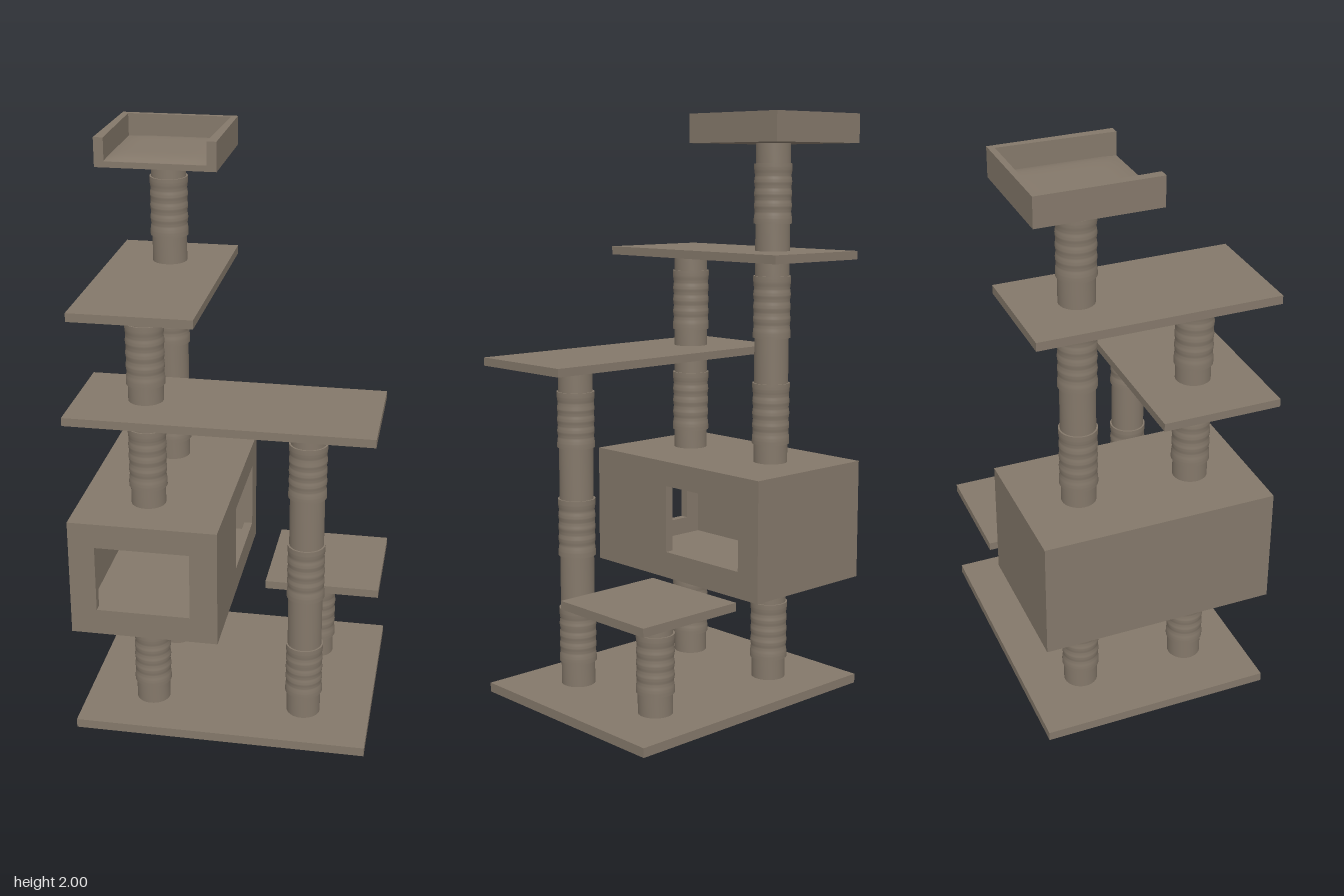
import * as THREE from 'three';
import { toCreasedNormals } from 'three/addons/utils/BufferGeometryUtils.js';

export function createModel() {
  const model = new THREE.Group();
  const brown = new THREE.MeshStandardMaterial({ color: 0x84786a });
  brown.name = 'taupe';

  const add = (name, geometry, parent = model) => {
    const mesh = new THREE.Mesh(geometry, brown);
    mesh.name = name;
    parent.add(mesh);
    return mesh;
  };

  // Box given by its lower and upper corners
  const slab = (name, x0, x1, y0, y1, z0, z1, parent) => {
    const g = new THREE.BoxGeometry(x1 - x0, y1 - y0, z1 - z0);
    g.translate((x0 + x1) / 2, (y0 + y1) / 2, (z0 + z1) / 2);
    return add(name, g, parent);
  };

  const rectPoints = (x0, x1, y0, y1) => [
    new THREE.Vector2(x0, y0), new THREE.Vector2(x1, y0),
    new THREE.Vector2(x1, y1), new THREE.Vector2(x0, y1),
  ];

  // Upright panel with a rectangular opening
  const openPanel = (outer, hole, depth) => {
    const shape = new THREE.Shape(rectPoints(...outer));
    shape.holes.push(new THREE.Path(rectPoints(...hole).reverse()));
    return new THREE.ExtrudeGeometry(shape, { depth, bevelEnabled: false });
  };

  // Post with rope-wrapped sleeves: a rounded ring at each end and soft ribs between
  const R = 0.059;
  const post = (name, x, z, y0, y1, wraps) => {
    const pts = [new THREE.Vector2(R, y0)];
    for (const [a, b] of wraps) {
      pts.push(new THREE.Vector2(R, a));
      const steps = 40;
      for (let i = 0; i <= steps; i++) {
        const t = i / steps;
        const end = t < 0.08 || t > 0.92;
        const rib = end ? 0.006 : 0.003 + 0.0025 * Math.sin(t * Math.PI * 5) ** 2;
        pts.push(new THREE.Vector2(R + rib, a + (b - a) * t));
      }
      pts.push(new THREE.Vector2(R, b));
    }
    pts.push(new THREE.Vector2(R, y1));
    const g = toCreasedNormals(new THREE.LatheGeometry(pts, 32), 0.9);
    add(name, g).position.set(x, 0, z);
  };

  // Base and shelves
  slab('base', -0.505, 0.505, 0, 0.032, -0.405, 0.405);
  slab('lowShelf', 0.1, 0.505, 0.39, 0.419, -0.405, 0);
  slab('wideShelf', -0.505, 0.505, 1.157, 1.185, 0, 0.405);
  slab('highShelf', -0.475, -0.07, 1.512, 1.541, -0.405, 0.405);

  // Posts
  const L = -0.272, Rt = 0.27, F = 0.204, B = -0.2;
  const low = [0.105, 0.307], mid = [0.875, 1.087], high = [1.244, 1.456], top = [1.633, 1.835];
  post('backLeftLowerPost', L, B, 0.032, 0.395, [low]);
  post('frontLeftLowerPost', L, F, 0.032, 0.395, [low]);
  post('shelfPost', Rt, B, 0.032, 0.392, [low]);
  post('tallFrontPost', Rt, F, 0.032, 1.158, [[0.115, 0.307], [0.495, 0.695], [0.875, 1.068]]);
  post('backMiddlePost', L, B, 0.808, 1.513, [mid, high]);
  post('frontMiddlePost', L, F, 0.808, 1.158, [mid]);
  post('frontUpperPost', L, F, 1.184, 1.513, [high]);
  post('topPost', L, B, 1.54, 1.903, [top]);

  // Hollow house with openings at the front and on the +x side
  const house = new THREE.Group();
  house.name = 'house';
  model.add(house);
  const w = 0.03, y0 = 0.393, y1 = 0.809;
  slab('houseFloor', -0.505, 0, y0, y0 + w, -0.405, 0.405, house);
  slab('houseRoof', -0.505, 0, y1 - w, y1, -0.405, 0.405, house);
  slab('houseBack', -0.505, 0, y0 + w, y1 - w, -0.405, -0.405 + w, house);
  slab('houseOuterSide', -0.505, -0.505 + w, y0 + w, y1 - w, -0.405 + w, 0.405 - w, house);
  const front = openPanel([-0.505, 0, y0 + w, y1 - w], [-0.415, -0.094, 0.485, 0.722], w);
  add('houseFront', front.translate(0, 0, 0.405 - w), house);
  const side = openPanel([-0.405 + w, 0.405 - w, y0 + w, y1 - w], [-0.042, 0.313, 0.485, 0.722], w);
  add('houseInnerSide', side.rotateY(Math.PI / 2).translate(-w, 0, 0), house);

  // Top bed: U-shaped rim, open at the front, with a softly domed cushion
  const bed = new THREE.Group();
  bed.name = 'bed';
  model.add(bed);
  slab('bedFloor', -0.475, -0.07, 1.902, 1.922, -0.405, 0, bed);
  const rim = new THREE.Shape([
    [-0.475, 0], [-0.442, 0], [-0.452, 0.385], [-0.092, 0.385],
    [-0.102, 0], [-0.07, 0], [-0.07, 0.405], [-0.475, 0.405],
  ].map(([x, y]) => new THREE.Vector2(x, y)));
  const rimGeometry = new THREE.ExtrudeGeometry(rim, { depth: 0.078, bevelEnabled: false });
  add('bedRim', rimGeometry.rotateX(-Math.PI / 2).translate(0, 1.922, 0), bed);
  const cushion = new THREE.PlaneGeometry(0.358, 0.387, 16, 16).rotateX(-Math.PI / 2);
  const p = cushion.attributes.position;
  for (let i = 0; i < p.count; i++) {
    const u = Math.abs(p.getX(i)) / 0.179, v = Math.abs(p.getZ(i)) / 0.1935;
    p.setY(i, 0.001 + 0.013 * (1 - u ** 6) * (1 - v ** 6));
  }
  cushion.computeVertexNormals();
  add('bedCushion', cushion.translate(-0.272, 1.922, -0.1935), bed);

  return model;
}
